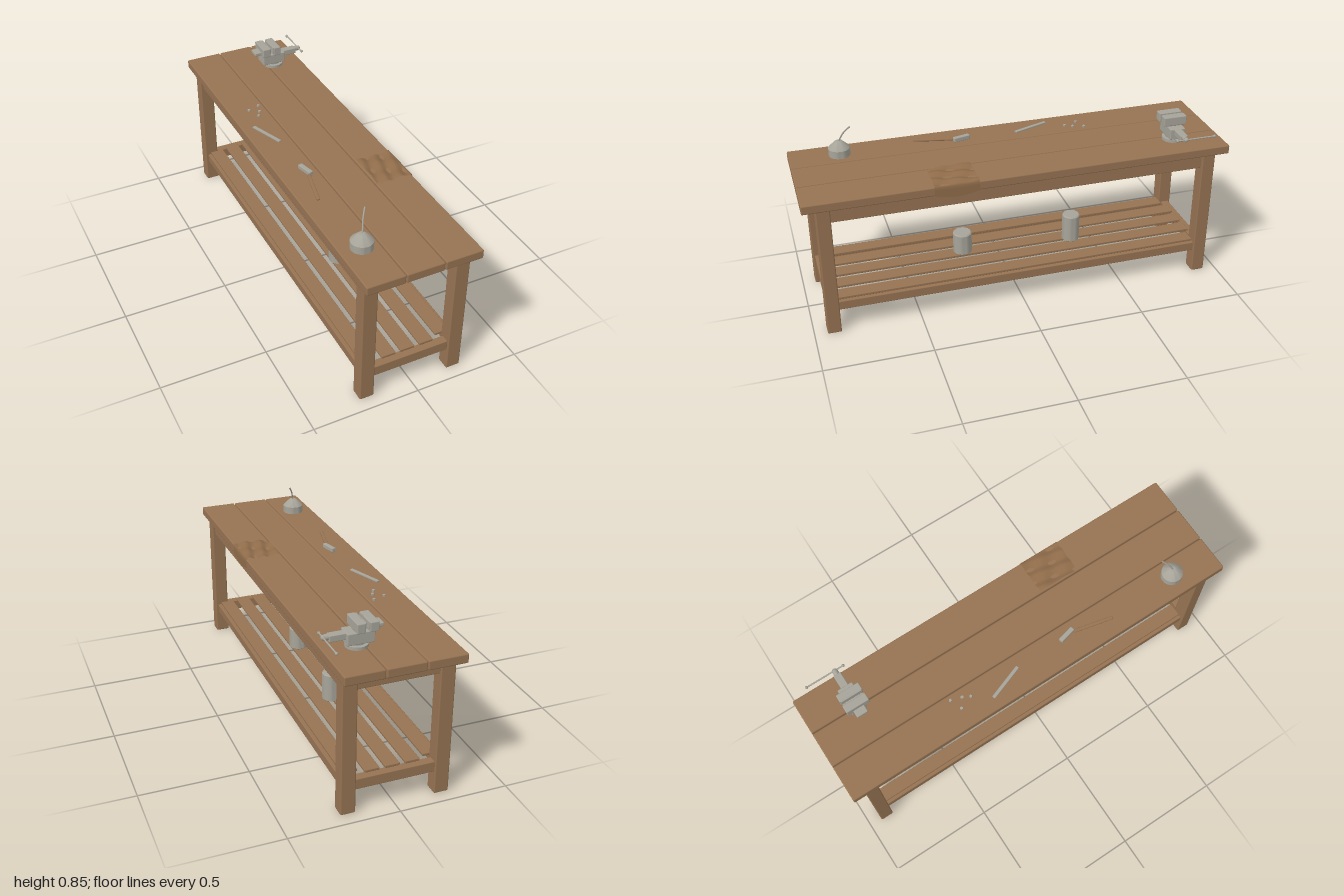
import * as THREE from 'three';
import { RoundedBoxGeometry } from 'three/addons/geometries/RoundedBoxGeometry.js';
import { toCreasedNormals } from 'three/addons/utils/BufferGeometryUtils.js';

const wood = new THREE.MeshStandardMaterial({ name: 'wood', color: 0x967352 });
const steel = new THREE.MeshStandardMaterial({ name: 'steel', color: 0xa6a499 });
const cloth = new THREE.MeshStandardMaterial({ name: 'brownCloth', color: 0x8f6c4a, side: THREE.DoubleSide });

const TOP = 0.692, SHELF = 0.17;

export function createModel() {
  const model = new THREE.Group();
  model.name = 'workbench';

  const add = (name, geometry, material, parent = model) => {
    const mesh = new THREE.Mesh(geometry, material);
    mesh.name = name;
    parent.add(mesh);
    return mesh;
  };
  // Bevelled block given by its minimum and maximum corners
  const block = (name, [x0, y0, z0], [x1, y1, z1], material = wood, bevel = 0.005, parent = model) => {
    const mesh = add(name, new RoundedBoxGeometry(x1 - x0, y1 - y0, z1 - z0, 2, bevel), material, parent);
    mesh.position.set((x0 + x1) / 2, (y0 + y1) / 2, (z0 + z1) / 2);
    return mesh;
  };
  const group = (name) => {
    const g = new THREE.Group();
    g.name = name;
    model.add(g);
    return g;
  };
  const lathe = (name, points, parent = model) => add(name, toCreasedNormals(
    new THREE.LatheGeometry(points.map(p => new THREE.Vector2(...p)), 32), 0.6), steel, parent);

  // Table top
  [[-0.273, -0.096], [-0.092, 0.082], [0.087, 0.263]].forEach(([a, b], i) =>
    block('topPlank' + (i + 1), [a, 0.649, -1], [b, TOP, 1], wood, 0.006));

  // Legs and long rails on both sides, cross rails at both ends
  for (const x of [-0.219, 0.212]) {
    for (const z of [-0.908, 0.908])
      block('leg', [x - 0.034, 0, z - 0.032], [x + 0.034, 0.649, z + 0.032], wood, 0.006);
    block('longApron', [x - 0.02, 0.575, -0.88], [x + 0.02, 0.645, 0.88], wood, 0.004);
    block('longStretcher', [x - 0.02, 0.113, -0.88], [x + 0.02, 0.158, 0.88], wood, 0.004);
  }
  for (const z of [-0.91, 0.91]) {
    block('endApron', [-0.187, 0.583, z - 0.02], [0.18, 0.636, z + 0.02], wood, 0.004);
    block('endStretcher', [-0.187, 0.107, z - 0.02], [0.18, 0.158, z + 0.02], wood, 0.004);
  }

  // Shelf slats
  for (let i = -2; i <= 2; i++) {
    const x = -0.004 + i * 0.0925, end = Math.abs(i) === 2 ? 0.876 : 0.9;
    block('shelfSlat', [x - 0.034, 0.157, -end], [x + 0.034, SHELF, end], wood, 0.003);
  }

  // Cans on the shelf
  for (const [x, z, r, h] of [[-0.005, 0.237, 0.045, 0.108], [0.033, -0.303, 0.042, 0.138]]) {
    const can = lathe('can', [[0, 0], [r - 0.004, 0], [r, 0.004], [r, h - 0.005], [r - 0.005, h], [0, h]]);
    can.position.set(x, SHELF, z);
  }

  // Oil can with a bent spout
  const oilCan = group('oilCan');
  oilCan.position.set(-0.173, TOP, 0.768);
  lathe('oilCanBody', [[0, 0], [0.05, 0], [0.05, 0.036], [0.047, 0.04], [0.018, 0.068], [0.008, 0.072], [0, 0.072]], oilCan);
  const spout = new THREE.CatmullRomCurve3([
    new THREE.Vector3(0, 0.065, 0), new THREE.Vector3(0.007, 0.09, -0.01),
    new THREE.Vector3(0.016, 0.118, -0.026), new THREE.Vector3(0.038, 0.154, -0.054)]);
  add('oilCanSpout', new THREE.TubeGeometry(spout, 16, 0.0035, 10), steel, oilCan);

  // Bench vise
  const vise = group('vise');
  const vz = -0.772;
  const viseBlock = (name, x0, x1, y0, y1, halfDepth, bevel = 0.004) =>
    block(name, [x0, y0, vz - halfDepth], [x1, y1, vz + halfDepth], steel, bevel, vise);
  const viseRod = (name, x, y, z, r, length, axis) => {
    const rod = add(name, new THREE.CylinderGeometry(r, r, length, 24), steel, vise);
    rod.position.set(x, y, z);
    if (axis) rod.rotation[axis] = Math.PI / 2;
  };
  viseRod('viseBase', 0.116, 0.699, vz, 0.05, 0.014);
  viseRod('viseNeck', 0.116, 0.71, vz, 0.034, 0.016);
  viseBlock('viseBody', 0.05, 0.17, 0.712, 0.765, 0.037);
  viseBlock('viseFixedJaw', 0.042, 0.08, 0.768, 0.812, 0.056);
  viseBlock('viseMovingJaw', 0.1, 0.137, 0.768, 0.812, 0.056);
  viseBlock('viseFixedJawPlate', 0.079, 0.084, 0.782, 0.811, 0.052, 0.001);
  viseBlock('viseMovingJawPlate', 0.096, 0.101, 0.782, 0.811, 0.052, 0.001);
  viseBlock('viseFixedJawFoot', 0.053, 0.076, 0.76, 0.772, 0.035, 0.002);
  viseBlock('viseMovingJawFoot', 0.104, 0.133, 0.76, 0.772, 0.035, 0.002);
  viseBlock('viseAnvil', 0.008, 0.046, 0.77, 0.787, 0.027);
  viseBlock('viseSlide', 0.165, 0.24, 0.733, 0.763, 0.018);
  viseRod('viseScrew', 0.247, 0.752, vz, 0.013, 0.022, 'z');
  viseRod('viseHandle', 0.261, 0.752, -0.822, 0.0035, 0.186, 'x');
  for (const [x, z, r] of [[0.26, vz, 0.011], [0.261, -0.915, 0.007], [0.261, -0.729, 0.007]])
    add('viseKnob', new THREE.SphereGeometry(r, 20, 14), steel, vise).position.set(x, 0.752, z);

  // Hammer lying on the bench
  const hammer = group('hammer');
  const shaft = block('hammerHandle', [-0.008, -0.005, -0.095], [0.008, 0.005, 0.095], wood, 0.004, hammer);
  shaft.position.set(-0.176, 0.702, 0.324);
  shaft.rotation.y = -0.22;
  const head = block('hammerHead', [-0.011, -0.011, -0.041], [0.011, 0.011, 0.041], steel, 0.004, hammer);
  head.position.set(-0.152, 0.704, 0.193);
  head.rotation.y = 0.24;

  // Flat file
  const file = block('file', [-0.008, -0.004, -0.09], [0.008, 0.004, 0.09], steel, 0.002);
  file.position.set(-0.186, 0.696, -0.16);
  file.rotation.y = 0.35;

  // Loose nuts
  for (const [x, z] of [[-0.18, -0.39], [-0.122, -0.412], [-0.138, -0.36], [-0.156, -0.326]])
    add('nut', new THREE.CylinderGeometry(0.0075, 0.0075, 0.008, 6), steel).position.set(x, 0.696, z);

  // Rag rippling over the top and sagging over the right edge
  const rag = new THREE.PlaneGeometry(1, 1, 40, 24);
  const p = rag.attributes.position;
  for (let i = 0; i < p.count; i++) {
    const u = p.getX(i) + 0.5, v = 0.5 - p.getY(i);
    const z = 0.215 + 0.205 * v;
    const ripple = 0.698 + 0.005 * Math.sin(u * 19 + v * 4) + 0.003 * Math.sin(v * 11 - u * 5);
    if (u < 0.8) p.setXYZ(i, 0.092 + 0.17 * u / 0.8, ripple, z);
    else {
      const t = (u - 0.8) / 0.2, bottom = 0.65 - 0.017 * Math.sin(Math.PI * v);
      p.setXYZ(i, 0.262 + 0.003 * Math.min(1, t * 4), THREE.MathUtils.lerp(0.696, bottom, t), z);
    }
  }
  rag.computeVertexNormals();
  add('rag', rag, cloth);

  return model;
}
